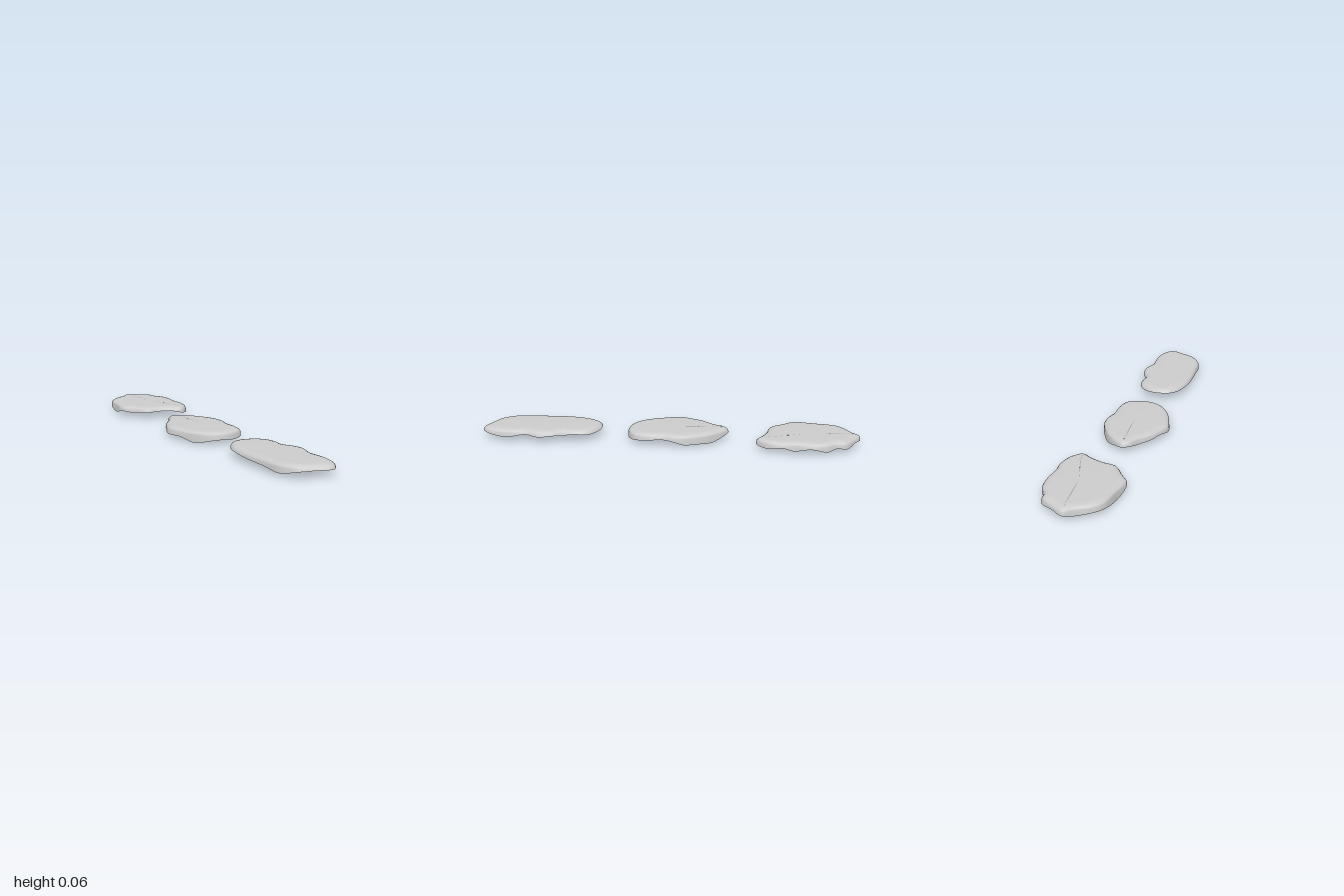
import * as THREE from 'three';

// Outline points, clockwise from above: x, z, height of the ragged lower edge
const backOutline = [
  [0.02, -1, .025], [.085, -.965, .03], [.15, -.92, .02], [.16, -.87, .025], [.19, -.82, .015],
  [.2, -.74, .03], [.19, -.65, .015], [.195, -.6, .03], [.175, -.515, .02], [.12, -.46, .025],
  [.06, -.49, .035], [-.005, -.515, .035], [-.075, -.53, .03], [-.125, -.595, .025], [-.17, -.66, .03],
  [-.155, -.765, .005], [-.13, -.885, .02], [-.09, -.93, .02], [-.02, -.97, .015],
];
const middleOutline = [
  [-.03, -.315, .03], [.01, -.295, .025], [.075, -.23, .005], [.12, -.15, .01], [.14, -.09, .01],
  [.14, -.035, .025], [.125, .02, .03], [.125, .11, .025], [.105, .175, .02], [.045, .21, .015],
  [-.03, .215, .02], [-.09, .19, .015], [-.145, .125, 0], [-.18, .035, .02], [-.2, -.055, .02],
  [-.175, -.12, .03], [-.145, -.18, .025], [-.09, -.245, .02], [-.065, -.295, .03],
];
const frontOutline = [
  [-.015, .36, .04], [.045, .38, .035], [.095, .425, .035], [.11, .495, .04], [.105, .55, .03],
  [.135, .61, .035], [.145, .675, .03], [.12, .75, .035], [.125, .85, .02], [.105, .945, .03],
  [.055, .99, .035], [-.02, .965, .035], [-.09, .93, .03], [-.14, .855, .015], [-.15, .745, .025],
  [-.155, .61, .03], [-.145, .495, .035], [-.115, .415, .035], [-.075, .37, .04],
];

const material = new THREE.MeshStandardMaterial({ color: 0xcccccc, side: THREE.DoubleSide });
const SEGMENTS = 76;

// Open-bottomed slab: ragged skirt, rounded rim and nearly flat top
function makeStone(name, outline) {
  const curve = new THREE.CatmullRomCurve3(
    outline.map(([x, z, low]) => new THREE.Vector3(x, low, z)), true, 'centripetal');
  const centre = new THREE.Vector3();
  outline.forEach(([x, z]) => centre.add(new THREE.Vector3(x, 0, z)));
  centre.divideScalar(outline.length);

  // Rings from the lower edge inwards: inset from the outline, height
  const rings = [[0, null], [.002, .042], [.008, .05], [.018, .056], [.032, .059], [.05, .06]];
  const positions = [], indices = [];
  for (const [inset, height] of rings) {
    for (let i = 0; i < SEGMENTS; i++) {
      const t = i / SEGMENTS;
      const p = curve.getPoint(t);
      // Normal averaged over a span so the inset rings stay smooth
      const span = curve.getPoint((t + .03) % 1).sub(curve.getPoint((t + .97) % 1));
      const normal = new THREE.Vector3(span.z, 0, -span.x).normalize();
      const y = height ?? Math.max(0, p.y);
      positions.push(p.x - normal.x * inset, y, p.z - normal.z * inset);
    }
  }
  for (let r = 0; r < rings.length - 1; r++) {
    for (let i = 0; i < SEGMENTS; i++) {
      const next = (i + 1) % SEGMENTS;
      const a = r * SEGMENTS + i, b = r * SEGMENTS + next;
      const c = a + SEGMENTS, d = b + SEGMENTS;
      indices.push(c, b, a, c, d, b);
    }
  }
  // Top cap
  const last = (rings.length - 1) * SEGMENTS;
  const middle = positions.length / 3;
  positions.push(centre.x, .061, centre.z);
  for (let i = 0; i < SEGMENTS; i++) {
    indices.push(middle, last + (i + 1) % SEGMENTS, last + i);
  }

  const geometry = new THREE.BufferGeometry();
  geometry.setAttribute('position', new THREE.Float32BufferAttribute(positions, 3));
  geometry.setIndex(indices);
  geometry.computeVertexNormals();
  const mesh = new THREE.Mesh(geometry, material);
  mesh.name = name;
  return mesh;
}

export function createModel() {
  const group = new THREE.Group();
  group.name = 'steppingStones';
  group.add(
    makeStone('backStone', backOutline),
    makeStone('middleStone', middleOutline),
    makeStone('frontStone', frontOutline),
  );
  return group;
}
